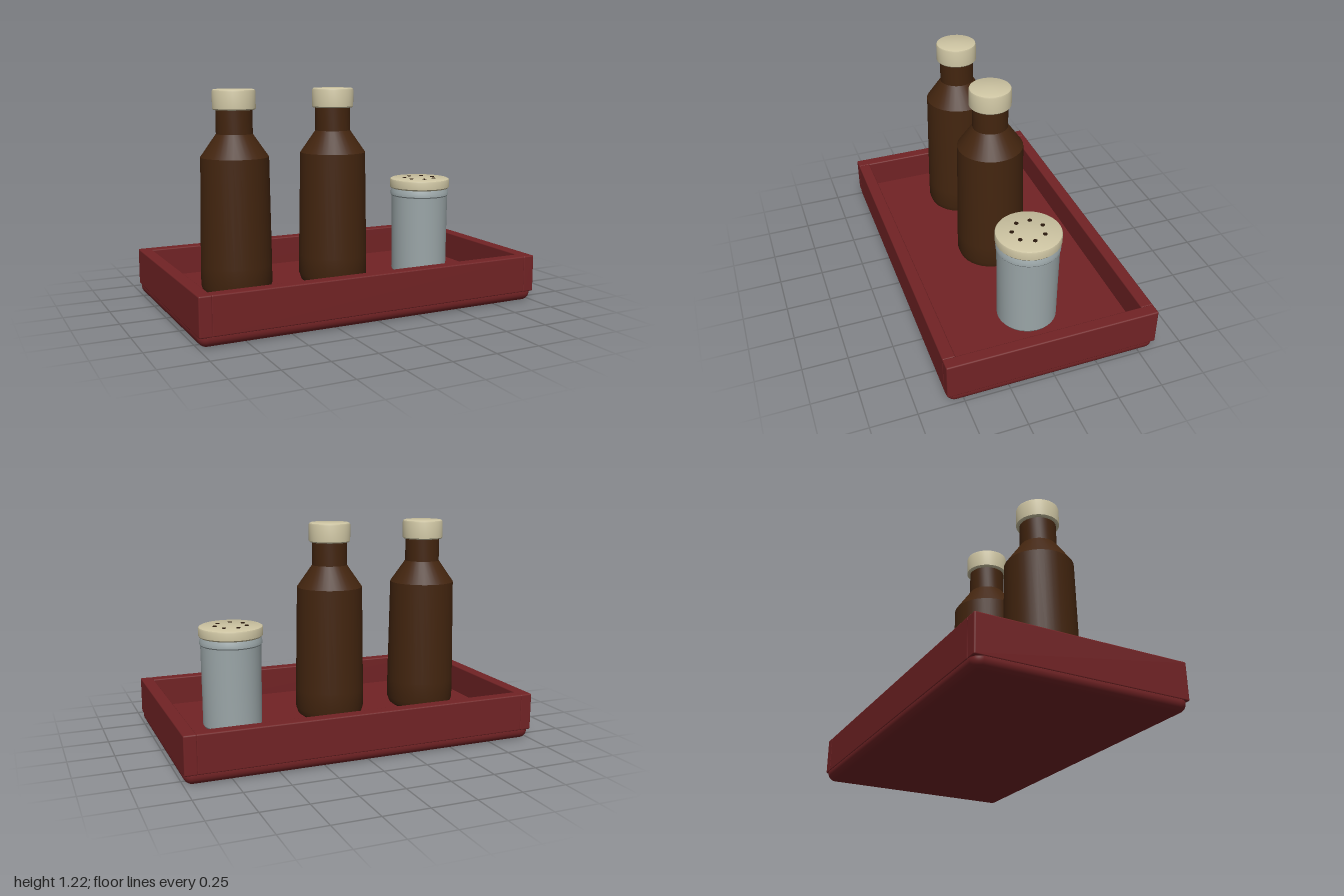
import * as THREE from 'three';
import { toCreasedNormals } from 'three/addons/utils/BufferGeometryUtils.js';
import { RoundedBoxGeometry } from 'three/addons/geometries/RoundedBoxGeometry.js';

const mat = (name, color) => {
  const m = new THREE.MeshStandardMaterial({ color });
  m.name = name;
  return m;
};

export function createModel() {
  const red = mat('tray red', 0x722325);
  const brown = mat('bottle brown', 0x43250f);
  const cream = mat('lid cream', 0xcdc4a2);
  const grey = mat('shaker grey', 0x9ba6a8);
  const dark = mat('hole dark', 0x2a190d);

  const model = new THREE.Group();
  model.name = 'condimentTray';

  const add = (parent, name, geometry, material, x = 0, y = 0, z = 0) => {
    const mesh = new THREE.Mesh(geometry, material);
    mesh.name = name;
    mesh.position.set(x, y, z);
    parent.add(mesh);
    return mesh;
  };
  // Turned part from [radius, height] pairs, listed from bottom to top
  const turned = (points) => toCreasedNormals(
    new THREE.LatheGeometry(points.map(([r, y]) => new THREE.Vector2(r, y)), 32), 0.5);

  // Tray: rounded base with four walls
  const tray = new THREE.Group();
  tray.name = 'tray';
  model.add(tray);
  const depth = 1.184, wall = 0.07, bottom = 0.055, top = 0.265;
  const wallY = (bottom + top) / 2, wallH = top - bottom;
  add(tray, 'trayBase', new RoundedBoxGeometry(1.996, 0.1, depth - 0.004, 5, 0.048), red, 0, 0.05, 0);
  for (const s of [-1, 1]) {
    add(tray, s > 0 ? 'leftWall' : 'rightWall',
      new RoundedBoxGeometry(wall, wallH, depth, 2, 0.008), red, s * (1 - wall / 2), wallY, 0);
    add(tray, s > 0 ? 'frontWall' : 'backWall',
      new RoundedBoxGeometry(2 - 2 * wall + 0.01, wallH, wall, 2, 0.008), red, 0, wallY, s * (depth - wall) / 2);
  }

  // Two matching bottles
  const bottleGeometry = turned([[0, 0.1], [0.165, 0.1], [0.185, 0.115], [0.197, 0.15],
    [0.197, 0.26], [0.187, 0.855], [0.1, 0.98], [0.1, 1.12], [0, 1.12]]);
  const capGeometry = turned([[0, 1.11], [0.111, 1.11], [0.118, 1.117], [0.118, 1.209],
    [0.115, 1.217], [0.107, 1.221], [0, 1.221]]);
  [-0.595, 0].forEach((x) => {
    const bottle = new THREE.Group();
    bottle.name = 'bottle';
    bottle.position.x = x;
    model.add(bottle);
    add(bottle, 'bottleBody', bottleGeometry, brown);
    add(bottle, 'bottleCap', capGeometry, cream);
  });

  // Shaker with a pierced lid
  const shaker = new THREE.Group();
  shaker.name = 'shaker';
  shaker.position.x = 0.59;
  model.add(shaker);
  add(shaker, 'shakerBody', turned([[0, 0.1], [0.158, 0.1], [0.166, 0.112], [0.167, 0.3],
    [0.17, 0.565], [0.175, 0.572], [0.174, 0.59], [0.162, 0.615], [0, 0.615]]), grey);
  add(shaker, 'shakerLid', turned([[0, 0.61], [0.172, 0.61], [0.179, 0.618], [0.18, 0.658],
    [0.177, 0.666], [0.169, 0.67], [0, 0.67]]), cream);
  const hole = new THREE.CylinderGeometry(0.012, 0.012, 0.006, 12);
  for (let i = 0; i < 7; i++) {
    const a = (i / 7) * Math.PI * 2;
    add(shaker, 'shakerHole', hole, dark, Math.cos(a) * 0.09, 0.67, Math.sin(a) * 0.09);
  }
  return model;
}
